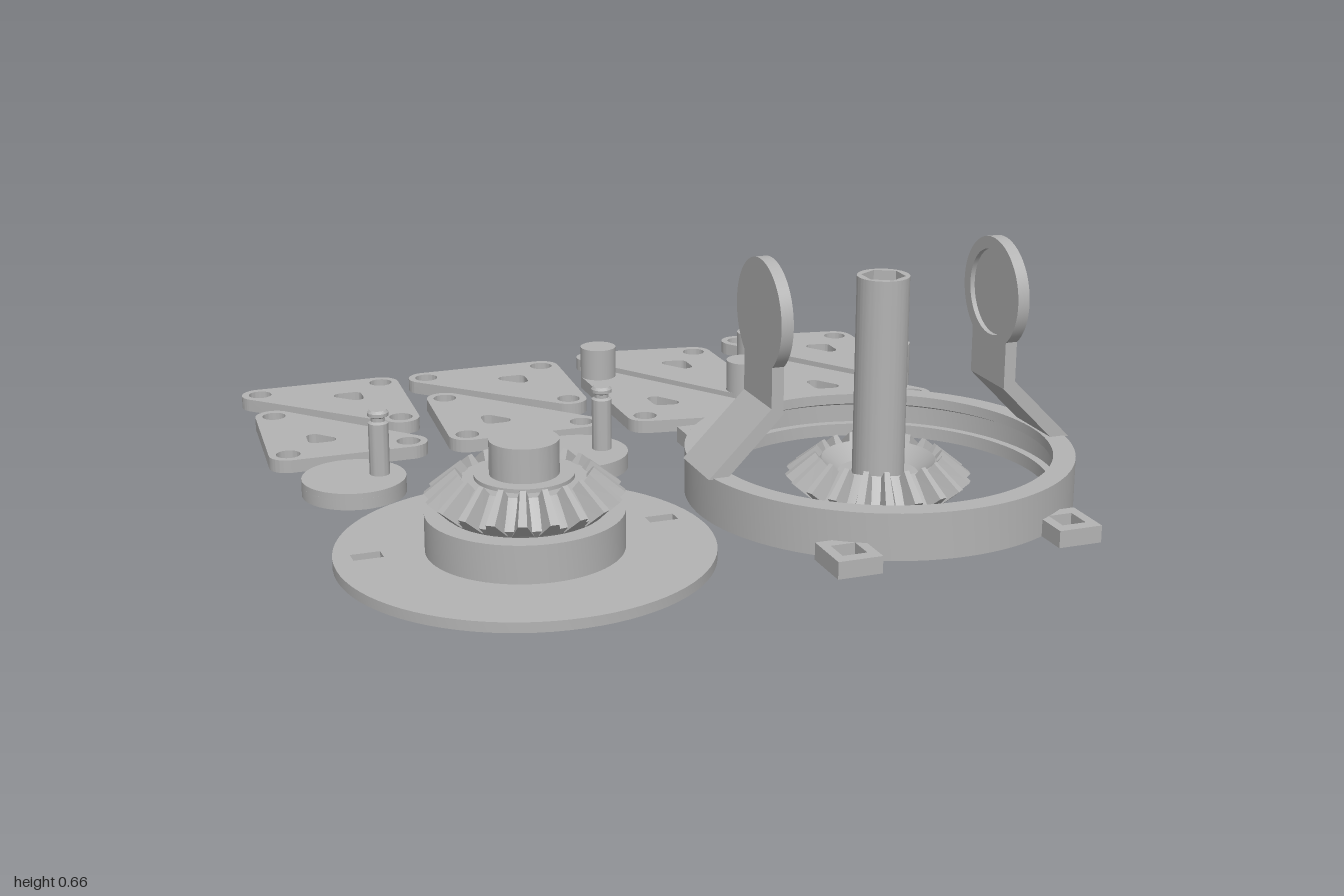
import * as THREE from 'three';
import { mergeGeometries, toCreasedNormals } from 'three/addons/utils/BufferGeometryUtils.js';

const plastic = new THREE.MeshStandardMaterial({ color: 0xb3b3b3 });
plastic.name = 'grey plastic';

function add(parent, name, geo, x = 0, y = 0, z = 0) {
  const mesh = new THREE.Mesh(geo, plastic);
  mesh.name = name;
  mesh.position.set(x, y, z);
  parent.add(mesh);
  return mesh;
}

function group(parent, name, x, y, z) {
  const g = new THREE.Group();
  g.name = name;
  g.position.set(x, y, z);
  parent.add(g);
  return g;
}

// Profile of [radius, height] pairs turned around y
function turned(points, segments = 64) {
  const geo = new THREE.LatheGeometry(points.map(p => new THREE.Vector2(p[0], p[1])), segments);
  return toCreasedNormals(geo, 0.5);
}

// Shape drawn in x/z, raised from y = 0 to the given height
function raised(shape, height) {
  const geo = new THREE.ExtrudeGeometry(shape, { depth: height, bevelEnabled: false, curveSegments: 40 });
  geo.rotateX(Math.PI / 2).translate(0, height, 0);
  return toCreasedNormals(geo, 0.5);
}

function circle(x, z, r, T = THREE.Path) {
  return new T().absarc(x, z, r, 0, Math.PI * 2, false);
}

function rect(x, z, w, d, T = THREE.Path) {
  return new T().setFromPoints([[-1, -1], [1, -1], [1, 1], [-1, 1]].map(
    ([a, b]) => new THREE.Vector2(x + a * w / 2, z + b * d / 2)));
}

function hexagon(r, T = THREE.Path) {
  const pts = [];
  for (let i = 0; i < 6; i++) {
    const a = (i + 0.5) * Math.PI / 3;
    pts.push(new THREE.Vector2(r * Math.cos(a), r * Math.sin(a)));
  }
  return new T().setFromPoints(pts);
}

// Outline wrapped around three equal circles
function roundedTriangle(points, r, T) {
  const p = THREE.ShapeUtils.area(points) < 0 ? [...points].reverse() : points;
  const path = new T();
  const normal = (a, b) => Math.atan2(a.x - b.x, b.y - a.y);
  for (let i = 0; i < 3; i++) {
    const a = p[(i + 2) % 3], b = p[i], c = p[(i + 1) % 3];
    path.absarc(b.x, b.y, r, normal(a, b), normal(b, c), false);
  }
  path.closePath();
  return path;
}

// Ring of tapered bevel gear teeth
function gearTeeth(count) {
  const heel = { root: [0.2, 0.005, 0.026], tip: [0.245, 0.045, 0.011] };
  const toe = { root: [0.14, 0.07, 0.017], tip: [0.168, 0.108, 0.007] };
  const teeth = [];
  for (let i = 0; i < count; i++) {
    const geo = new THREE.BoxGeometry(1, 1, 1);
    const pos = geo.attributes.position;
    for (let v = 0; v < pos.count; v++) {
      const end = pos.getX(v) > 0 ? heel : toe;
      const [r, y, w] = pos.getY(v) > 0 ? end.tip : end.root;
      pos.setXYZ(v, r, y, Math.sign(pos.getZ(v)) * w);
    }
    geo.computeVertexNormals();
    teeth.push(geo.rotateY(i * Math.PI * 2 / count));
  }
  return mergeGeometries(teeth);
}

// Triangular link: corners given with the right-angled one in the middle
function linkPlate(parent, corners, pegIndex) {
  const g = group(parent, 'linkPlate', 0, 0, 0);
  const pts = corners.map(c => new THREE.Vector2(c[0], c[1]));
  const shape = roundedTriangle(pts, 0.053, THREE.Shape);
  pts.forEach((p, i) => {
    if (i !== pegIndex) shape.holes.push(circle(p.x, p.y, 0.033));
    else add(g, 'peg', new THREE.CylinderGeometry(0.053, 0.053, 0.128, 40), p.x, 0.064, p.y);
  });
  const centre = pts[0].clone().add(pts[1]).add(pts[2]).divideScalar(3).lerp(pts[1], 0.13);
  const small = pts.map(p => p.clone().sub(centre).multiplyScalar(0.11).add(centre));
  shape.holes.push(roundedTriangle(small, 0.021, THREE.Path));
  add(g, 'plate', raised(shape, 0.036));
}

// Upright bracket on the -x side of the ring
function bracket(parent, angle) {
  const g = group(parent, 'bracket', 0, 0, 0);
  const s = new THREE.Shape();
  [[-0.517, 0.12], [-0.465, 0.12], [-0.315, 0.272], [-0.315, 0.4], [-0.348, 0.4], [-0.348, 0.29]]
    .forEach(([x, y], i) => (i ? s.lineTo(x, y) : s.moveTo(x, y)));
  const geo = new THREE.ExtrudeGeometry(s, { depth: 0.184, bevelEnabled: false });
  add(g, 'arm', geo.translate(0, 0, -0.092));
  const pad = turned([[0, 0], [0.148, 0], [0.148, 0.033], [0.115, 0.033], [0.115, 0.02], [0, 0.02]]);
  add(g, 'recessedPad', pad.rotateZ(-Math.PI / 2), -0.348, 0.515, 0);
  g.rotation.y = angle;
}

export function createModel() {
  const model = new THREE.Group();
  model.name = 'gearKit';

  // Turntable: slotted disc, drum, bevel gear and stub shaft
  const table = group(model, 'turntable', -0.53, 0, 0.525);
  const disc = circle(0, 0, 0.47, THREE.Shape);
  [[0, -0.385], [-0.38, -0.07], [0.38, -0.07]].forEach(([x, z]) => disc.holes.push(rect(x, z, 0.075, 0.04)));
  add(table, 'baseDisc', raised(disc, 0.026));
  add(table, 'drum', turned([[0.246, 0.026], [0.246, 0.123], [0, 0.123]]));
  add(table, 'gearTeeth', gearTeeth(20), 0, 0.123, 0);
  add(table, 'gearBody', turned([[0.195, 0], [0.21, 0.02], [0.155, 0.085], [0.123, 0.085],
    [0.123, 0.095], [0.086, 0.095], [0.086, 0.182], [0, 0.182]]), 0, 0.123, 0);

  // Housing ring with an inner groove, lugs and brackets
  const housing = group(model, 'housing', 0.487, 0, 0.385);
  add(housing, 'ring', turned([[0.455, 0], [0.513, 0], [0.513, 0.123], [0.455, 0.123],
    [0.455, 0.095], [0.478, 0.085], [0.478, 0.035], [0.455, 0.035], [0.455, 0]], 96));
  for (const x of [-0.302, 0.298]) {
    for (const z of [-0.483, 0.473]) {
      const lug = rect(0, 0, 0.118, 0.138, THREE.Shape);
      lug.holes.push(rect(0, 0, 0.065, 0.07));
      add(housing, 'lug', raised(lug, 0.045), x, 0, z);
    }
  }
  bracket(housing, 0);
  bracket(housing, Math.PI);

  // Drive gear with a tall hex-bored column
  const drive = group(model, 'driveGear', 0.487, 0, 0.385);
  add(drive, 'gearTeeth', gearTeeth(20));
  add(drive, 'gearBody', turned([[0.064, 0], [0.195, 0], [0.21, 0.02], [0.15, 0.09],
    [0.107, 0.05], [0.064, 0.05]]));
  const column = circle(0, 0, 0.069, THREE.Shape);
  column.holes.push(hexagon(0.058));
  add(drive, 'column', raised(column, 0.588));

  // Crank discs with a blind hex socket and a notched pin
  for (const [x, z] of [[-0.823, -0.07], [-0.203, -0.065]]) {
    const crank = group(model, 'crank', x, 0, z);
    const base = circle(0, 0, 0.138, THREE.Shape);
    base.holes.push(hexagon(0.045));
    add(crank, 'socketDisc', raised(base, 0.03));
    add(crank, 'discTop', new THREE.CylinderGeometry(0.138, 0.138, 0.015, 64), 0, 0.0375, 0);
    add(crank, 'pin', turned([[0.027, 0.045], [0.027, 0.187], [0.019, 0.192], [0.019, 0.202],
      [0.028, 0.207], [0.028, 0.216], [0.022, 0.223], [0, 0.223]], 32), 0.07, 0, 0);
  }

  // Plain link plates
  for (const dx of [0, 0.506]) {
    linkPlate(model, [[-0.92 + dx, -0.898], [-0.556 + dx, -0.898], [-0.578 + dx, -0.551]], -1);
    linkPlate(model, [[-0.92 + dx, -0.679], [-0.947 + dx, -0.332], [-0.61 + dx, -0.332]], -1);
  }
  // Link plates with a peg
  for (const [dx, dz] of [[0, 0], [0.495, -0.016]]) {
    linkPlate(model, [[0.134 + dx, -0.936 + dz], [0.449 + dx, -0.882 + dz], [0.449 + dx, -0.46 + dz]], 2);
  }
  for (const [dx, dz] of [[0, 0], [0.508, 0.011]]) {
    linkPlate(model, [[0.085 + dx, -0.743 + dz], [0.085 + dx, -0.321 + dz], [0.401 + dx, -0.273 + dz]], 0);
  }
  return model;
}
